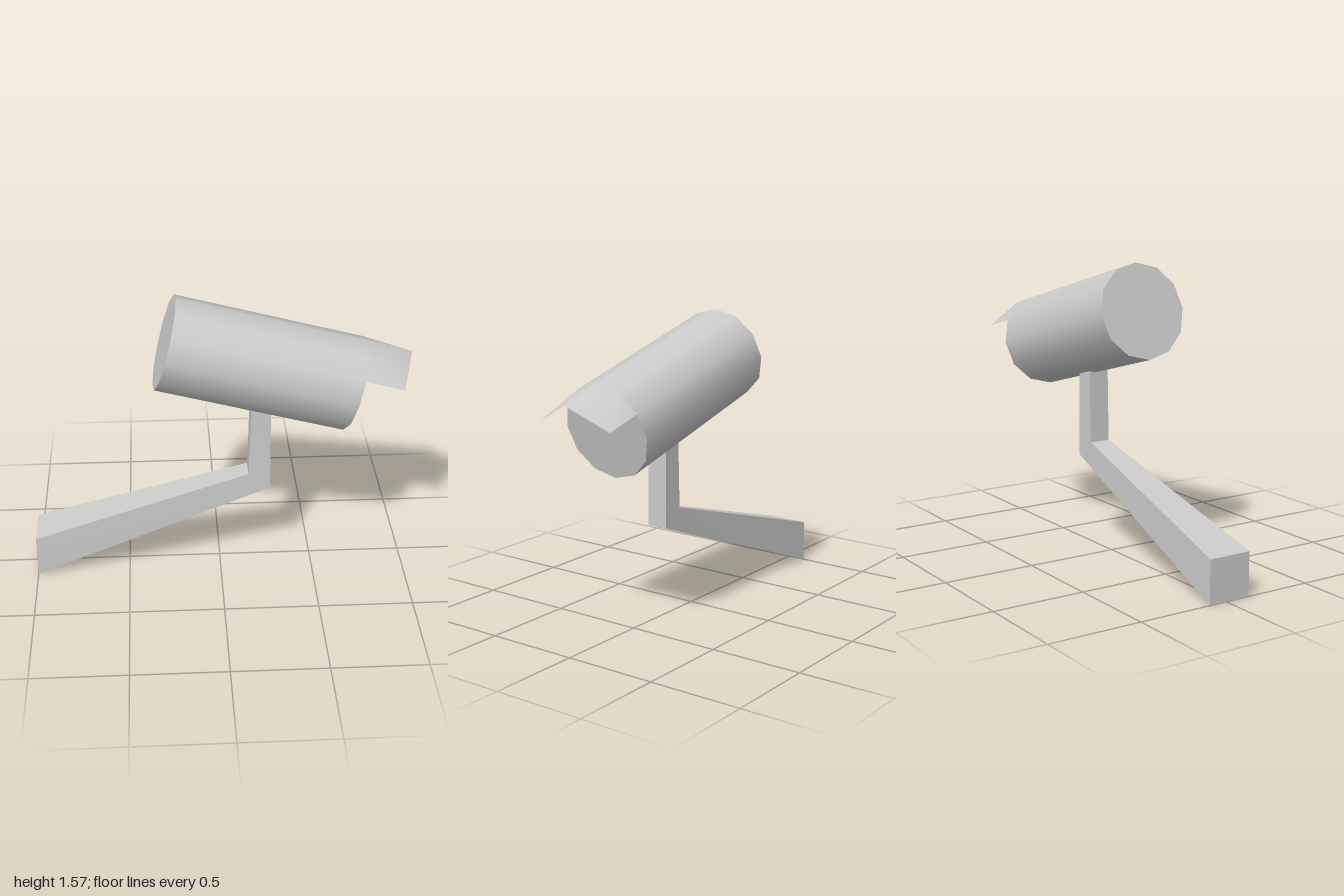
import * as THREE from 'three';
import { toCreasedNormals } from 'three/addons/utils/BufferGeometryUtils.js';

const RADIUS = 0.25;
const LENGTH = 1.015;
const TILT = THREE.MathUtils.degToRad(-15);

function indexed(points, faces) {
  const g = new THREE.BufferGeometry();
  g.setAttribute('position', new THREE.Float32BufferAttribute(points.flat(), 3));
  g.setIndex(faces.flat());
  g.computeVertexNormals();
  return g;
}

// Point on the housing's round section, angle measured from +z up to +y
function onHousing(x, degrees) {
  const a = THREE.MathUtils.degToRad(degrees);
  return [x, RADIUS * Math.sin(a), RADIUS * Math.cos(a)];
}

// Rain visor: upper third of the tube, drawn out to a pointed end
function visorGeometry() {
  const ring = [30, 60, 90, 120, 150].map((a) => onHousing(LENGTH, a));
  const tips = [onHousing(1.224, 30), onHousing(1.258, 90), onHousing(1.224, 150)];
  return indexed(
    [...ring, ...tips],
    [[0, 5, 1], [1, 5, 6], [1, 6, 2], [2, 6, 3], [3, 6, 7], [3, 7, 4]],
  );
}

// Bent square bracket lofted through three four-cornered sections
function bracketGeometry() {
  const sections = [
    { upper: [-1, 0.23], lower: [-1, 0.0], back: -0.1, front: 0.137 },
    { upper: [0.15, 0.572], lower: [0.267, 0.485], back: -0.035, front: 0.08 },
    { upper: [0.16, 0.97], lower: [0.264, 0.942], back: -0.035, front: 0.08 },
  ];
  const points = sections.flatMap(({ upper, lower, back, front }) => [
    [...upper, front], [...upper, back], [...lower, back], [...lower, front],
  ]);
  const faces = [[0, 1, 2], [0, 2, 3], [8, 10, 9], [8, 11, 10]];
  for (let s = 0; s < 2; s++) {
    for (let i = 0; i < 4; i++) {
      const a = s * 4 + i;
      const b = s * 4 + ((i + 1) % 4);
      faces.push([a, a + 4, b], [b, a + 4, b + 4]);
    }
  }
  return toCreasedNormals(indexed(points, faces), Math.PI / 4);
}

export function createModel() {
  const model = new THREE.Group();
  model.name = 'securityCamera';
  const grey = new THREE.MeshStandardMaterial({ color: 0xcccccc });
  const thinGrey = new THREE.MeshStandardMaterial({ color: 0xcccccc, side: THREE.DoubleSide });

  // Tilted head, with its origin at the centre of the rear cap
  const head = new THREE.Group();
  head.name = 'cameraHead';
  head.position.set(-0.285, 1.33, 0);
  head.rotation.z = TILT;
  model.add(head);

  const tube = new THREE.CylinderGeometry(RADIUS, RADIUS, LENGTH, 12);
  tube.rotateZ(-Math.PI / 2).translate(LENGTH / 2, 0, 0);
  const housing = new THREE.Mesh(tube, grey);
  housing.name = 'housing';
  head.add(housing);

  const visor = new THREE.Mesh(visorGeometry(), thinGrey);
  visor.name = 'visor';
  head.add(visor);

  // Wall arm and upright post in one piece
  const bracket = new THREE.Mesh(bracketGeometry(), grey);
  bracket.name = 'wallBracket';
  model.add(bracket);

  return model;
}
